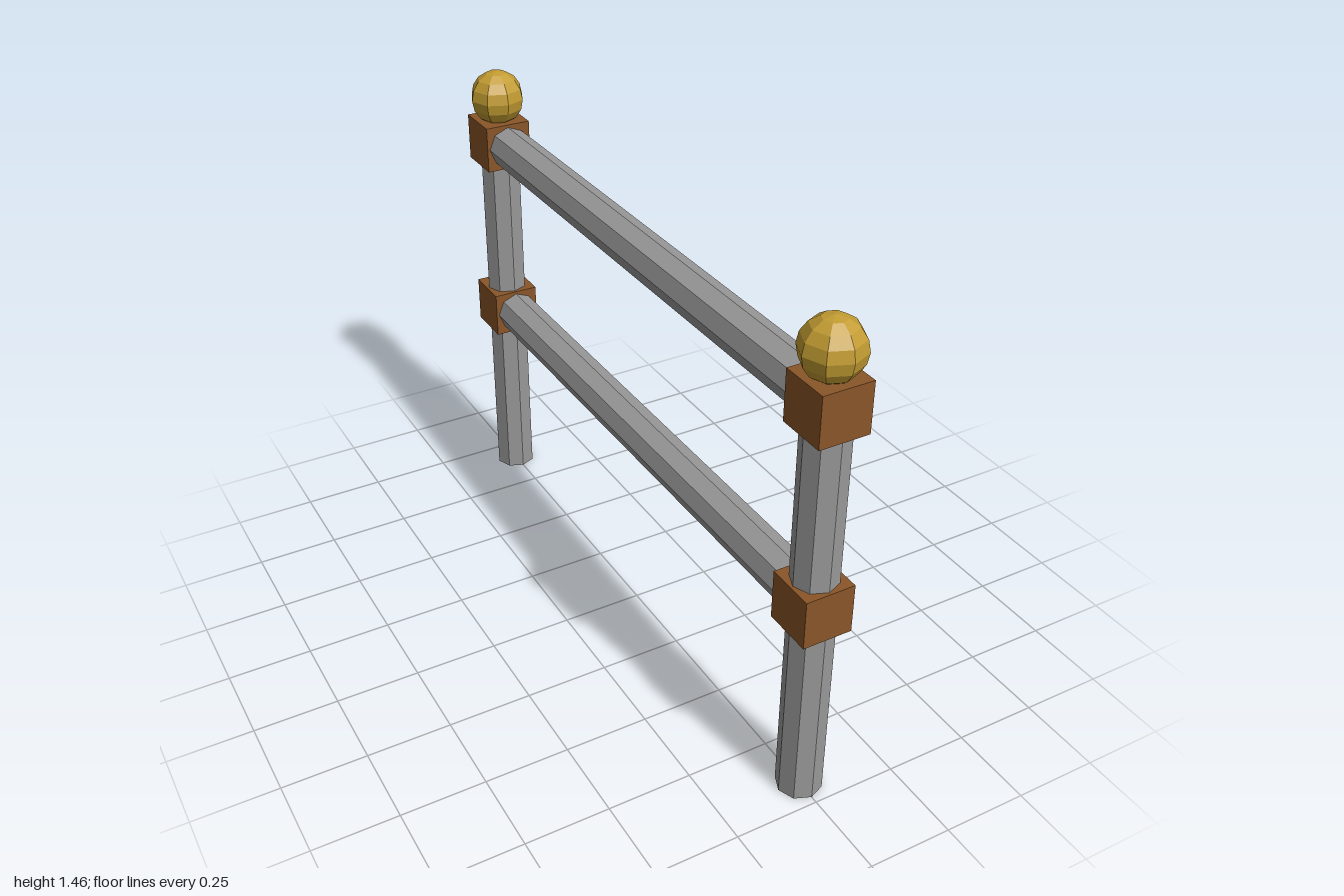
import * as THREE from 'three';

const POST_Z = 0.914;
const RADIUS = 0.065;
const BLOCK = 0.146;
const RAIL_HEIGHTS = [0.636, 1.229];

const metal = new THREE.MeshStandardMaterial({ color: 0x999999, flatShading: true });
const wood = new THREE.MeshStandardMaterial({ color: 0x8a5528, flatShading: true });
const gold = new THREE.MeshStandardMaterial({ color: 0xc29c32, flatShading: true });

function addPart(parent, name, geometry, material, x, y, z) {
  const mesh = new THREE.Mesh(geometry, material);
  mesh.name = name;
  mesh.position.set(x, y, z);
  parent.add(mesh);
}

export function createModel() {
  const model = new THREE.Group();
  model.name = 'railing';

  const postHeight = RAIL_HEIGHTS[1];
  const postGeometry = new THREE.CylinderGeometry(RADIUS, RADIUS, postHeight, 8);
  const blockGeometry = new THREE.BoxGeometry(BLOCK, BLOCK, BLOCK);
  const ballGeometry = new THREE.SphereGeometry(0.086, 8, 8);
  const railGeometry = new THREE.CylinderGeometry(RADIUS, RADIUS, 2 * POST_Z, 8).rotateX(Math.PI / 2);

  // End posts with joint blocks and a ball finial
  for (const [side, z] of [['front', POST_Z], ['back', -POST_Z]]) {
    const end = new THREE.Group();
    end.name = side + 'End';
    end.position.z = z;
    addPart(end, side + 'Post', postGeometry, metal, 0, postHeight / 2, 0);
    for (const y of RAIL_HEIGHTS) addPart(end, side + 'JointBlock', blockGeometry, wood, 0, y, 0);
    addPart(end, side + 'BallFinial', ballGeometry, gold, 0, 1.371, 0);
    model.add(end);
  }

  // Horizontal rails between the blocks
  addPart(model, 'lowerRail', railGeometry, metal, 0, RAIL_HEIGHTS[0], 0);
  addPart(model, 'upperRail', railGeometry, metal, 0, RAIL_HEIGHTS[1], 0);

  return model;
}
